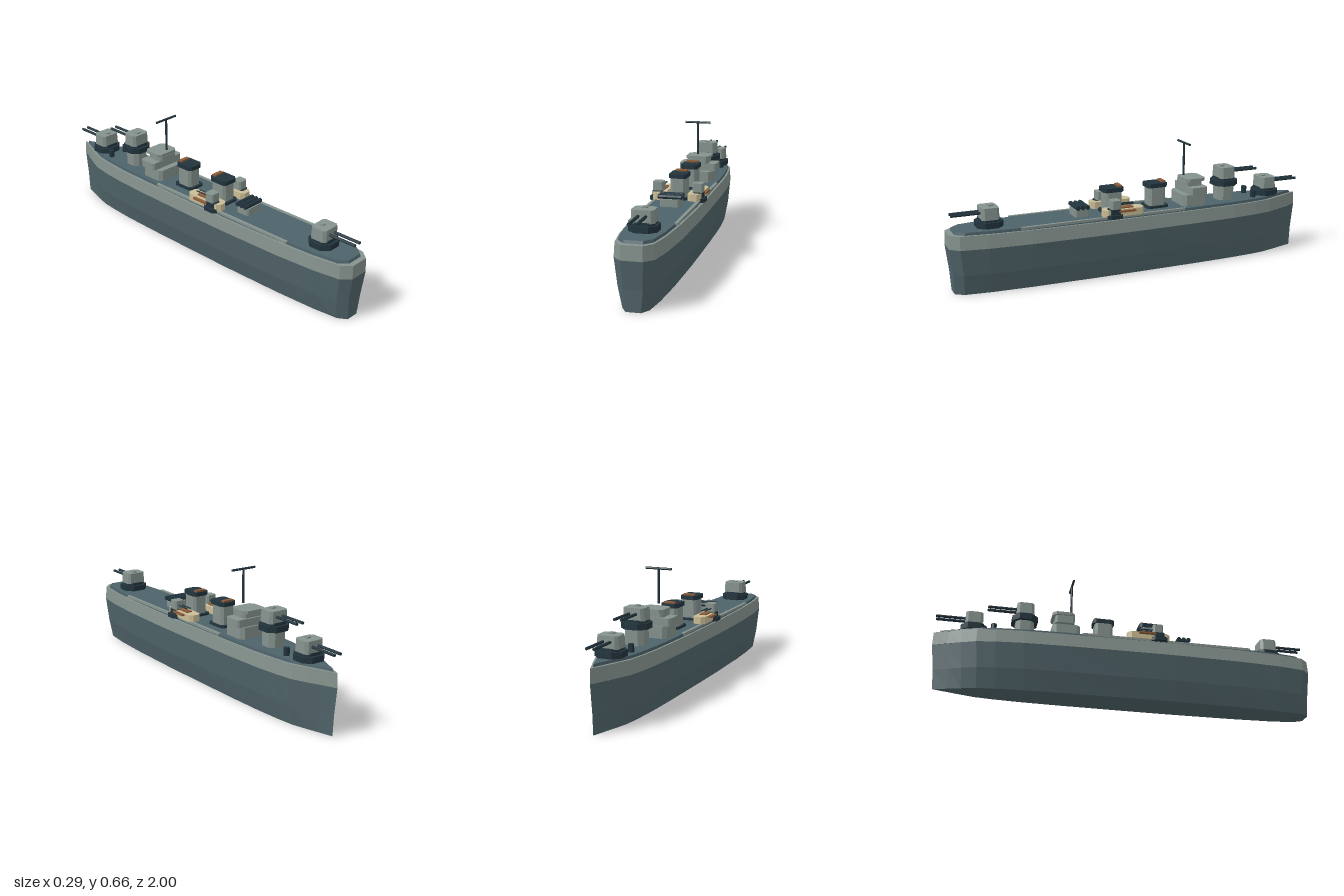
import * as THREE from 'three';

const paint = (name, color, side = THREE.FrontSide) => {
  const m = new THREE.MeshStandardMaterial({ color, flatShading: true, side });
  m.name = name;
  return m;
};

export function createModel() {
  const ship = new THREE.Group();
  ship.name = 'warship';
  const hullBlue = paint('hull blue grey', 0x50646a);
  const deckBlue = paint('deck blue grey', 0x4d626a);
  const grey = paint('light grey', 0x85928d);
  const dark = paint('dark navy', 0x22343d);
  const cream = paint('cream', 0xcabd96);
  const rust = paint('rust orange', 0x8c5c3a);

  const add = (parent, name, geo, mat, x = 0, y = 0, z = 0) => {
    const m = new THREE.Mesh(geo, mat);
    m.name = name;
    m.position.set(x, y, z);
    parent.add(m);
    return m;
  };
  const box = (p, name, mat, w, h, d, x, y, z) => add(p, name, new THREE.BoxGeometry(w, h, d), mat, x, y, z);
  const rod = (p, name, mat, r, len, axis, x, y, z, sides = 8) => {
    const g = new THREE.CylinderGeometry(r, r, len, sides);
    if (axis === 'x') g.rotateZ(Math.PI / 2);
    if (axis === 'z') g.rotateX(Math.PI / 2);
    return add(p, name, g, mat, x, y, z);
  };

  // Stack scaled copies of a convex plan outline; levels are [y, scaleX, scaleZ]
  const loft = (outline, levels) => {
    const n = outline.length, pos = [], idx = [];
    for (const [y, sx, sz] of levels) for (const [x, z] of outline) pos.push(x * sx, y, z * sz);
    for (let l = 0; l < levels.length - 1; l++) for (let i = 0; i < n; i++) {
      const a = l * n + i, b = l * n + (i + 1) % n;
      idx.push(a, a + n, b + n, a, b + n, b);
    }
    const t = (levels.length - 1) * n;
    for (let i = 1; i < n - 1; i++) idx.push(0, i, i + 1, t, t + i + 1, t + i);
    const g = new THREE.BufferGeometry();
    g.setAttribute('position', new THREE.Float32BufferAttribute(pos, 3));
    g.setIndex(idx);
    const flat = g.toNonIndexed();
    flat.computeVertexNormals();
    return flat;
  };
  // Rectangle plan with cut corners
  const cut = (w, d, c) => [[w - c, -d], [w, -d + c], [w, d - c], [w - c, d],
    [-w + c, d], [-w, d - c], [-w, -d + c], [-w + c, -d]];
  const block = (p, name, mat, w, d, c, y0, y1, x = 0, z = 0, taper = 1) =>
    add(p, name, loft(cut(w, d, c), [[y0, 1, 1], [y1, taper, taper]]), mat, x, 0, z);

  // Hull: half outline from bow to stern, mirrored
  const half = [[0.03, -0.925], [0.062, -0.86], [0.092, -0.785], [0.108, -0.69], [0.122, -0.55], [0.13, -0.35],
    [0.136, 0], [0.138, 0.25], [0.131, 0.6], [0.116, 0.82], [0.094, 0.955], [0.052, 1]];
  const plan = [[0, -1], ...half, ...half.slice().reverse().map(([x, z]) => [-x, z])];
  add(ship, 'lowerHull', loft(plan, [[0, 0.67, 0.98], [0.105, 0.88, 0.985], [0.24, 1, 1]]), hullBlue);
  add(ship, 'upperHullBand', loft(plan, [[0.24, 1, 1], [0.31, 0.95, 0.997]]), grey);
  add(ship, 'deck', loft(plan, [[0.31, 0.87, 0.97], [0.324, 0.86, 0.965]]), deckBlue);
  for (const s of [-1, 1]) {
    box(ship, 'deckEdgeStrip', grey, 0.016, 0.012, 0.9, s * 0.112, 0.322, 0.2);
    rod(ship, 'bollard', dark, 0.015, 0.04, 'y', s * 0.05, 0.343, -0.7);
  }

  // Main turrets; dir is the way the guns point along z
  const turret = (name, z, lift, dir) => {
    const t = new THREE.Group();
    t.name = name;
    t.position.set(0, lift, z);
    t.rotation.y = dir > 0 ? 0 : Math.PI;
    ship.add(t);
    block(t, 'turretRing', dark, 0.068, 0.066, 0.034, 0.324, 0.354);
    block(t, 'turretCollar', dark, 0.054, 0.05, 0.022, 0.354, 0.368);
    block(t, 'turretHouse', grey, 0.056, 0.046, 0.014, 0.364, 0.425, 0, 0, 0.95);
    block(t, 'turretHatch', grey, 0.013, 0.013, 0.004, 0.425, 0.432, 0, -0.012);
    for (const s of [-1, 1]) {
      rod(t, 'gunBarrel', dark, 0.0075, 0.15, 'z', s * 0.018, 0.397, 0.118);
    }
  };
  turret('sternTurret', 0.785, 0, 1);
  turret('bowTurret', -0.8, 0, -1);
  turret('raisedTurret', -0.54, 0.08, -1);
  block(ship, 'turretPedestal', grey, 0.05, 0.048, 0.022, 0.32, 0.41, 0, -0.54);

  // Bridge and mast
  const bridge = new THREE.Group();
  bridge.name = 'bridge';
  ship.add(bridge);
  block(bridge, 'bridgeBase', grey, 0.085, 0.072, 0.018, 0.32, 0.385, 0, -0.328);
  block(bridge, 'bridgeWings', grey, 0.104, 0.05, 0.01, 0.385, 0.425, 0, -0.34);
  block(bridge, 'bridgeUpper', grey, 0.058, 0.05, 0.012, 0.425, 0.45, 0, -0.33);
  block(bridge, 'bridgeRoof', grey, 0.066, 0.058, 0.018, 0.45, 0.466, 0, -0.34);
  rod(ship, 'mast', dark, 0.006, 0.18, 'y', 0, 0.568, -0.295);
  rod(ship, 'mastYard', dark, 0.006, 0.14, 'x', 0, 0.654, -0.295);

  // Funnels
  for (const z of [-0.124, 0.125]) {
    const f = new THREE.Group();
    f.name = 'funnel';
    f.position.z = z;
    ship.add(f);
    block(f, 'funnelFoot', dark, 0.052, 0.062, 0.014, 0.32, 0.336);
    block(f, 'funnelBody', grey, 0.041, 0.047, 0.013, 0.336, 0.434);
    block(f, 'funnelCap', dark, 0.046, 0.056, 0.014, 0.434, 0.456);
    box(f, 'funnelVent', rust, 0.06, 0.01, 0.022, 0, 0.46, -0.038);
  }

  // Triple tube launcher laid across the deck
  block(ship, 'launcherBase', grey, 0.05, 0.038, 0.008, 0.32, 0.362, 0, 0.305);
  for (let i = -1; i <= 1; i++) {
    rod(ship, 'launcherTube', dark, 0.012, 0.12, 'x', 0, 0.374, 0.305 + i * 0.026);
  }

  // Side boats and small gun mounts
  for (const s of [-1, 1]) {
    block(ship, 'boatHull', cream, 0.034, 0.112, 0.018, 0.326, 0.363, s * 0.092, 0.1, 1);
    box(ship, 'boatSeat', rust, 0.034, 0.007, 0.075, s * 0.094, 0.3655, 0.085);
    box(ship, 'boatFender', rust, 0.016, 0.009, 0.09, s * 0.134, 0.355, 0.09);
    block(ship, 'mountRing', dark, 0.034, 0.042, 0.016, 0.318, 0.338, s * 0.11, 0.155);
    block(ship, 'mountCollar', dark, 0.026, 0.034, 0.012, 0.338, 0.366, s * 0.106, 0.152);
    block(ship, 'mountHouse', grey, 0.028, 0.027, 0.007, 0.364, 0.412, s * 0.104, 0.148, 0.96);
    for (const o of [-1, 1]) {
      rod(ship, 'mountBarrel', dark, 0.004, 0.08, 'z', s * 0.1 + o * 0.01, 0.386, 0.085, 6);
    }
  }
  return ship;
}
